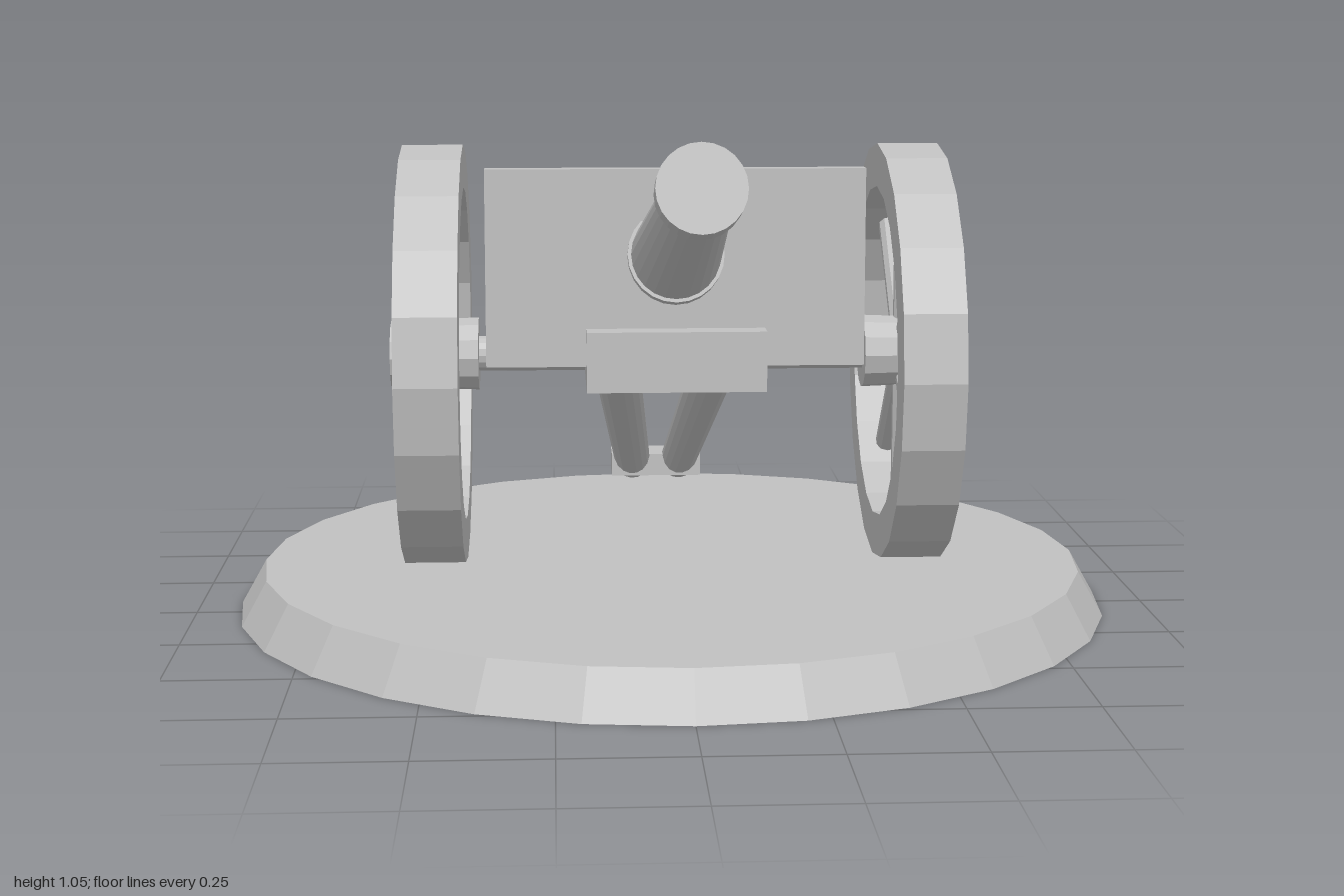
import * as THREE from 'three';

const V = (x, y, z) => new THREE.Vector3(x, y, z);
const AXLE_Y = 0.533, AXLE_Z = -0.083;

export function createModel() {
  const model = new THREE.Group();
  model.name = 'fieldCannon';
  const grey = new THREE.MeshStandardMaterial({ color: 0xc0c0c0, flatShading: true });
  grey.name = 'plainGrey';

  const add = (name, geometry, parent = model) => {
    const mesh = new THREE.Mesh(geometry, grey);
    mesh.name = name;
    parent.add(mesh);
    return mesh;
  };
  // Box given by its lowest and highest corners
  const box = (name, a, b) => {
    const mesh = add(name, new THREE.BoxGeometry(b.x - a.x, b.y - a.y, b.z - a.z));
    mesh.position.copy(a).add(b).multiplyScalar(0.5);
    return mesh;
  };
  // Tapered rod from a to b
  const rod = (name, a, b, ra, rb, sides, parent = model) => {
    const mesh = add(name, new THREE.CylinderGeometry(rb, ra, a.distanceTo(b), sides), parent);
    mesh.position.copy(a).add(b).multiplyScalar(0.5);
    mesh.quaternion.setFromUnitVectors(V(0, 1, 0), b.clone().sub(a).normalize());
    return mesh;
  };

  // Round plinth with a bevelled rim
  const base = add('base', new THREE.CylinderGeometry(0.863, 0.915, 0.092, 28));
  base.position.set(0, 0.046, -0.085);

  // Carriage block, shield and axle
  box('carriageBlock', V(-0.182, 0.49, -0.262), V(0.182, 0.613, 0.175));
  box('shield', V(-0.385, 0.535, 0.08), V(0.385, 0.937, 0.119));
  rod('axle', V(-0.45, AXLE_Y, AXLE_Z), V(0.45, AXLE_Y, AXLE_Z), 0.037, 0.037, 16);

  // Wheels: rim, eight spokes and a slightly tapered hub
  for (const side of [1, -1]) {
    const wheel = new THREE.Group();
    wheel.name = side > 0 ? 'leftWheel' : 'rightWheel';
    wheel.position.set(side * 0.497, AXLE_Y, AXLE_Z);
    model.add(wheel);
    const profile = [[0.44, -0.063], [0.44, 0.063], [0.35, 0.063], [0.35, -0.063], [0.44, -0.063]];
    const rim = add('rim', new THREE.LatheGeometry(profile.map(p => new THREE.Vector2(...p)), 20), wheel);
    rim.rotation.z = Math.PI / 2;
    for (let i = 0; i < 8; i++) {
      const a = i * Math.PI / 4;
      rod('spoke', V(0, 0, 0), V(0, 0.36 * Math.cos(a), 0.36 * Math.sin(a)), 0.025, 0.025, 10, wheel);
    }
    rod('hub', V(-side * 0.092, 0, 0), V(side * 0.092, 0, 0), 0.077, 0.07, 12, wheel);
  }

  // Barrel turned as one profile, from the breech end to the muzzle
  const breech = V(0, 0.651, -0.336), muzzle = V(0, 0.973, 0.979);
  const length = breech.distanceTo(muzzle);
  const outline = [
    [0, 0], [0.055, 0], [0.104, 0.06], [0.098, 0.485], [0.091, 0.485],
    [0.061, length - 0.07], [0.078, length - 0.07], [0.078, length], [0, length],
  ];
  const barrel = add('barrel', new THREE.LatheGeometry(outline.map(p => new THREE.Vector2(...p)), 24));
  barrel.position.copy(breech);
  barrel.quaternion.setFromUnitVectors(V(0, 1, 0), muzzle.clone().sub(breech).normalize());

  // Twin trail legs meeting at the ground block
  for (const side of [1, -1]) {
    rod('trailLeg', V(side * 0.121, 0.543, -0.2), V(side * 0.055, 0.135, -0.887), 0.054, 0.043, 16);
  }
  box('trailBlock', V(-0.108, 0.11, -0.942), V(0.108, 0.163, -0.835));

  return model;
}
